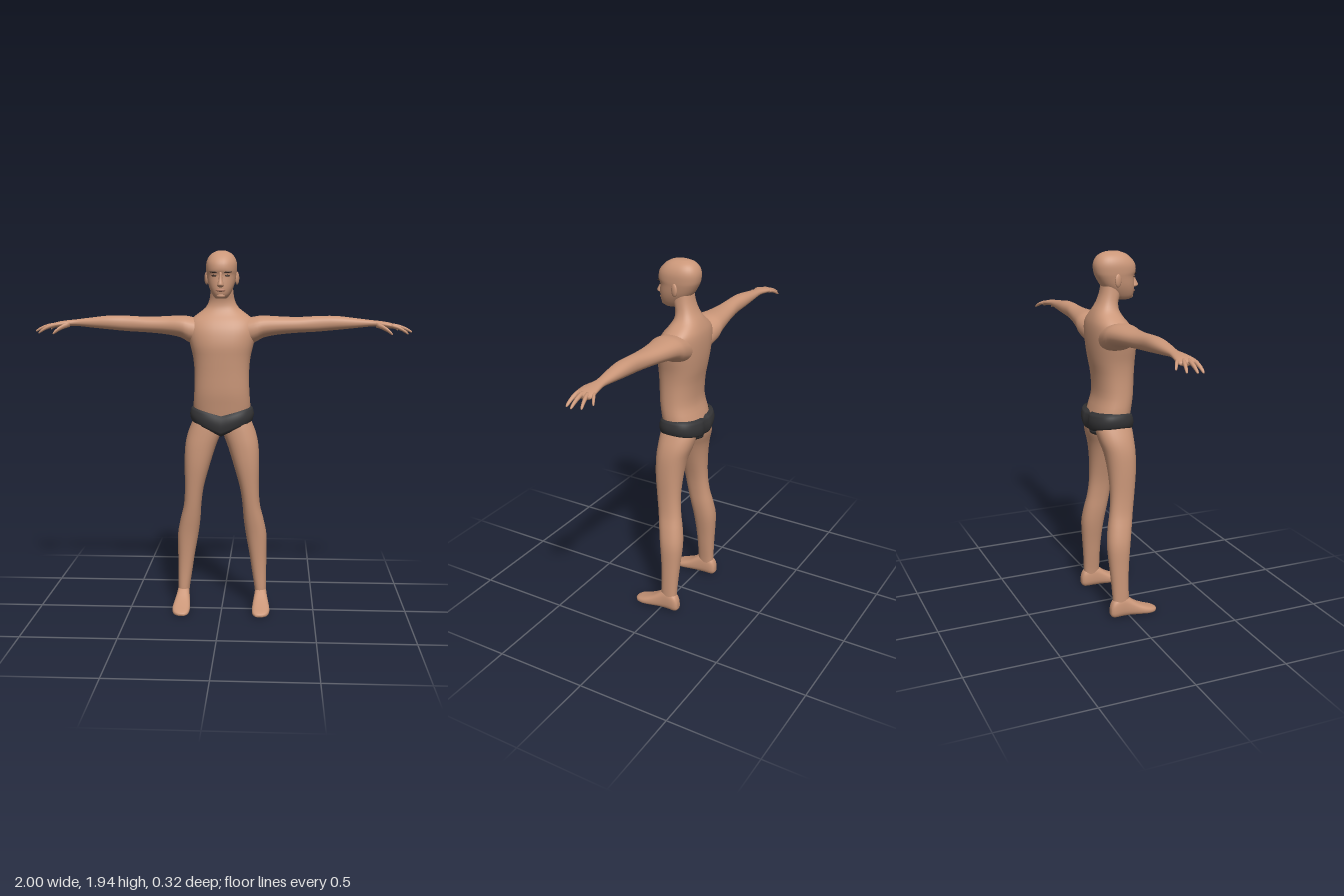
import * as THREE from 'three';

const mat = (name, color, extra = {}) => {
  const m = new THREE.MeshStandardMaterial({ color, ...extra });
  m.name = name;
  return m;
};

// Smooth interpolation of cross-section rows
function refine(rows, steps) {
  const out = [];
  const at = i => rows[Math.min(Math.max(i, 0), rows.length - 1)];
  for (let i = 0; i < rows.length - 1; i++) {
    const [a, b, c, d] = [at(i - 1), at(i), at(i + 1), at(i + 2)];
    for (let s = 0; s < steps; s++) {
      const t = s / steps;
      out.push(b.map((v, k) => v + 0.5 * t * (c[k] - a[k] + t * (2 * a[k] - 5 * v + 4 * c[k] - d[k]
        + t * (3 * (v - c[k]) + d[k] - a[k])))));
    }
  }
  out.push(rows[rows.length - 1]);
  return out;
}

// Closed surface from rings of points; ends may be capped
function skinRings(rings, caps = true) {
  const n = rings[0].length, pos = rings.flat(2), idx = [];
  for (let j = 0; j < rings.length - 1; j++)
    for (let i = 0; i < n; i++) {
      const a = j * n + i, b = j * n + (i + 1) % n;
      idx.push(a, a + n, b, b, a + n, b + n);
    }
  if (caps) [0, rings.length - 1].forEach((j, end) => {
    const c = pos.length / 3;
    for (let k = 0; k < 3; k++) pos.push(rings[j].reduce((s, p) => s + p[k], 0) / n);
    for (let i = 0; i < n; i++) {
      const a = j * n + i, b = j * n + (i + 1) % n;
      idx.push(c, ...(end ? [b, a] : [a, b]));
    }
  });
  const g = new THREE.BufferGeometry();
  g.setAttribute('position', new THREE.Float32BufferAttribute(pos, 3));
  g.setIndex(idx);
  g.computeVertexNormals();
  return g;
}

const pw = (v, e) => Math.sign(v) * Math.pow(Math.abs(v), e);

// Rows are [t, u0, u1, v0, v1]; axis y: u=x v=z, axis x: u=z v=y, axis z: u=y v=x
function loft(rows, axis, n = 28, power = 2.3, steps = 3) {
  const rings = refine(rows, steps).map(([t, u0, u1, v0, v1]) => Array.from({ length: n }, (_, i) => {
    const a = i / n * Math.PI * 2;
    const u = (u0 + u1) / 2 + (u1 - u0) / 2 * pw(Math.cos(a), 2 / power);
    const v = (v0 + v1) / 2 + (v1 - v0) / 2 * pw(Math.sin(a), 2 / power);
    return { y: [u, t, v], x: [t, v, u], z: [v, u, t] }[axis];
  }));
  return skinRings(rings);
}

// Mirror a geometry across x, keeping faces outward
function mirrored(g) {
  const m = g.clone().scale(-1, 1, 1), ix = m.index;
  for (let i = 0; i < ix.count; i += 3) {
    const b = ix.getX(i + 1);
    ix.setX(i + 1, ix.getX(i + 2));
    ix.setX(i + 2, b);
  }
  m.computeVertexNormals();
  return m;
}

const sym = rows => rows.map(([y, r, z0, z1]) => [y, -r, r, z0, z1]);

export function createModel() {
  const model = new THREE.Group();
  model.name = 'standingFigure';
  const skin = mat('skin', 0xcb9779);
  const cloth = mat('darkCloth', 0x343436, { side: THREE.DoubleSide });
  const dark = mat('browAndEye', 0x35261f);
  const lip = mat('lips', 0xb57e66);

  const add = (name, g, m = skin) => {
    const mesh = new THREE.Mesh(g, m);
    mesh.name = name;
    model.add(mesh);
  };
  const pair = (name, g, m = skin) => {
    add(name + 'Left', g, m);
    add(name + 'Right', mirrored(g), m);
  };
  const blob = (x, y, z, rx, ry, rz, turn = 0, tilt = 0) => new THREE.SphereGeometry(1, 16, 12)
    .scale(rx, ry, rz).rotateZ(tilt).rotateY(turn).translate(x, y, z);

  // Torso and neck
  add('torso', loft(sym([
    [0.99, 0.11, -0.10, 0.045], [1.03, 0.14, -0.125, 0.062], [1.08, 0.15, -0.135, 0.072],
    [1.13, 0.152, -0.123, 0.08], [1.2, 0.147, -0.105, 0.09], [1.3, 0.145, -0.11, 0.095],
    [1.38, 0.152, -0.125, 0.1], [1.45, 0.168, -0.134, 0.103], [1.52, 0.182, -0.137, 0.09],
    [1.57, 0.172, -0.134, 0.066], [1.605, 0.135, -0.125, 0.04], [1.64, 0.09, -0.11, 0.022],
    [1.68, 0.068, -0.088, 0.02], [1.73, 0.06, -0.07, 0.033], [1.79, 0.055, -0.06, 0.03],
  ]), 'y', 40));

  // Head
  add('head', loft(sym([
    [1.69, 0.026, 0.02, 0.088], [1.705, 0.042, -0.01, 0.105], [1.735, 0.058, -0.04, 0.112],
    [1.77, 0.07, -0.07, 0.112], [1.81, 0.077, -0.093, 0.11], [1.835, 0.08, -0.102, 0.119],
    [1.87, 0.08, -0.105, 0.115], [1.9, 0.07, -0.095, 0.095], [1.923, 0.05, -0.073, 0.066],
    [1.936, 0.022, -0.04, 0.03],
  ]), 'y', 36));
  add('nose', loft(sym([
    [1.748, 0.008, 0.1, 0.118], [1.755, 0.018, 0.09, 0.136], [1.765, 0.016, 0.09, 0.14],
    [1.79, 0.01, 0.09, 0.127], [1.825, 0.008, 0.09, 0.117],
  ]), 'y', 16, 2));
  add('lips', blob(0, 1.733, 0.108, 0.025, 0.008, 0.01), lip);
  add('chin', blob(0, 1.705, 0.09, 0.025, 0.015, 0.02));
  pair('ear', blob(0.08, 1.795, -0.005, 0.01, 0.034, 0.02, -0.35));
  pair('eye', blob(0.034, 1.807, 0.102, 0.014, 0.005, 0.005, 0.28), dark);
  pair('eyebrow', blob(0.038, 1.825, 0.109, 0.021, 0.004, 0.005, 0.3, 0.08), dark);

  // Arms with palms
  pair('arm', loft([
    [0.08, -0.12, 0.045, 1.43, 1.575], [0.17, -0.13, 0.055, 1.457, 1.595], [0.22, -0.125, 0.048, 1.484, 1.6],
    [0.3, -0.11, 0.03, 1.5, 1.596], [0.4, -0.09, 0.02, 1.51, 1.593], [0.5, -0.075, 0.012, 1.516, 1.598],
    [0.6, -0.075, 0.012, 1.525, 1.599], [0.7, -0.07, 0, 1.535, 1.588], [0.78, -0.066, -0.012, 1.543, 1.578],
    [0.83, -0.072, 0, 1.541, 1.573], [0.88, -0.08, 0.013, 1.535, 1.565], [0.915, -0.078, 0.008, 1.531, 1.552],
  ], 'x', 28, 2.2));

  // Fingers: base and tip as x, y, z
  const digits = {
    thumb: [0.81, 1.552, -0.008, 0.89, 1.506, 0.048, 0.014],
    indexFinger: [0.885, 1.549, 0.002, 0.975, 1.507, 0.012, 0.011],
    middleFinger: [0.89, 1.55, -0.023, 0.999, 1.515, -0.03, 0.011],
    ringFinger: [0.89, 1.55, -0.047, 0.985, 1.517, -0.076, 0.011],
    littleFinger: [0.875, 1.549, -0.068, 0.935, 1.522, -0.104, 0.01],
  };
  for (const [name, [x0, y0, z0, x1, y1, z1, r]] of Object.entries(digits))
    pair(name, loft([0, 0.35, 0.7, 0.93, 1].map((t, i) => {
      const s = r * [1, 0.95, 0.8, 0.6, 0.2][i];
      const y = y0 + (y1 - y0) * t + 0.008 * Math.sin(t * Math.PI);
      const z = z0 + (z1 - z0) * t;
      return [x0 + (x1 - x0) * t, z - s, z + s, y - s, y + s];
    }), 'x', 10, 2, 2));

  // Legs
  pair('leg', loft([
    [0.03, 0.185, 0.24, -0.09, -0.005], [0.1, 0.18, 0.243, -0.09, 0], [0.2, 0.165, 0.243, -0.095, 0],
    [0.3, 0.15, 0.243, -0.103, 0.005], [0.41, 0.13, 0.243, -0.11, 0.016], [0.5, 0.118, 0.226, -0.1, 0.03],
    [0.58, 0.112, 0.207, -0.085, 0.042], [0.68, 0.098, 0.2, -0.076, 0.055], [0.8, 0.065, 0.201, -0.081, 0.068],
    [0.9, 0.034, 0.198, -0.096, 0.071], [0.97, 0.008, 0.185, -0.118, 0.069], [1.03, 0, 0.162, -0.128, 0.065],
    [1.08, 0, 0.14, -0.12, 0.055],
  ], 'y', 30, 2.25));

  // Feet
  pair('foot', loft([
    [-0.107, 0.02, 0.06, 0.2, 0.23], [-0.09, 0.004, 0.1, 0.186, 0.243], [-0.04, 0.003, 0.125, 0.18, 0.246],
    [0, 0.003, 0.105, 0.176, 0.25], [0.05, 0.002, 0.07, 0.17, 0.259], [0.1, 0, 0.046, 0.168, 0.263],
    [0.14, 0, 0.031, 0.174, 0.252], [0.16, 0.006, 0.02, 0.19, 0.228],
  ], 'z', 24, 2.6));

  // Briefs: a puffed band, dipping to a V in front, with a cleft behind
  const rings = [];
  for (let j = 0; j <= 10; j++) {
    const v = j / 10;
    const puff = j % 10 ? 0.004 + 0.012 * Math.sin(Math.PI * v) : -0.012;
    rings.push(Array.from({ length: 56 }, (_, i) => {
      const a = i / 56 * Math.PI * 2, c = Math.cos(a), s = Math.sin(a);
      const cx = pw(c, 2 / 2.5), sz = pw(s, 2 / 2.5), mid = 1 - Math.abs(cx);
      const low = 1.035 - (s > 0 ? 0.07 : 0.035) * mid;
      const high = 1.122 - (s > 0 ? 0.04 : 0.012) * mid;
      const cleft = s < 0 ? 0.014 * Math.exp(-((cx / 0.12) ** 2)) : 0;
      return [(0.155 + puff) * cx, low + (high - low) * v, -0.035 + (0.107 + puff) * sz + cleft];
    }));
  }
  add('briefs', skinRings(rings, false), cloth);
  add('briefsGusset', blob(0, 1.003, -0.032, 0.042, 0.038, 0.104), cloth);

  return model;
}
